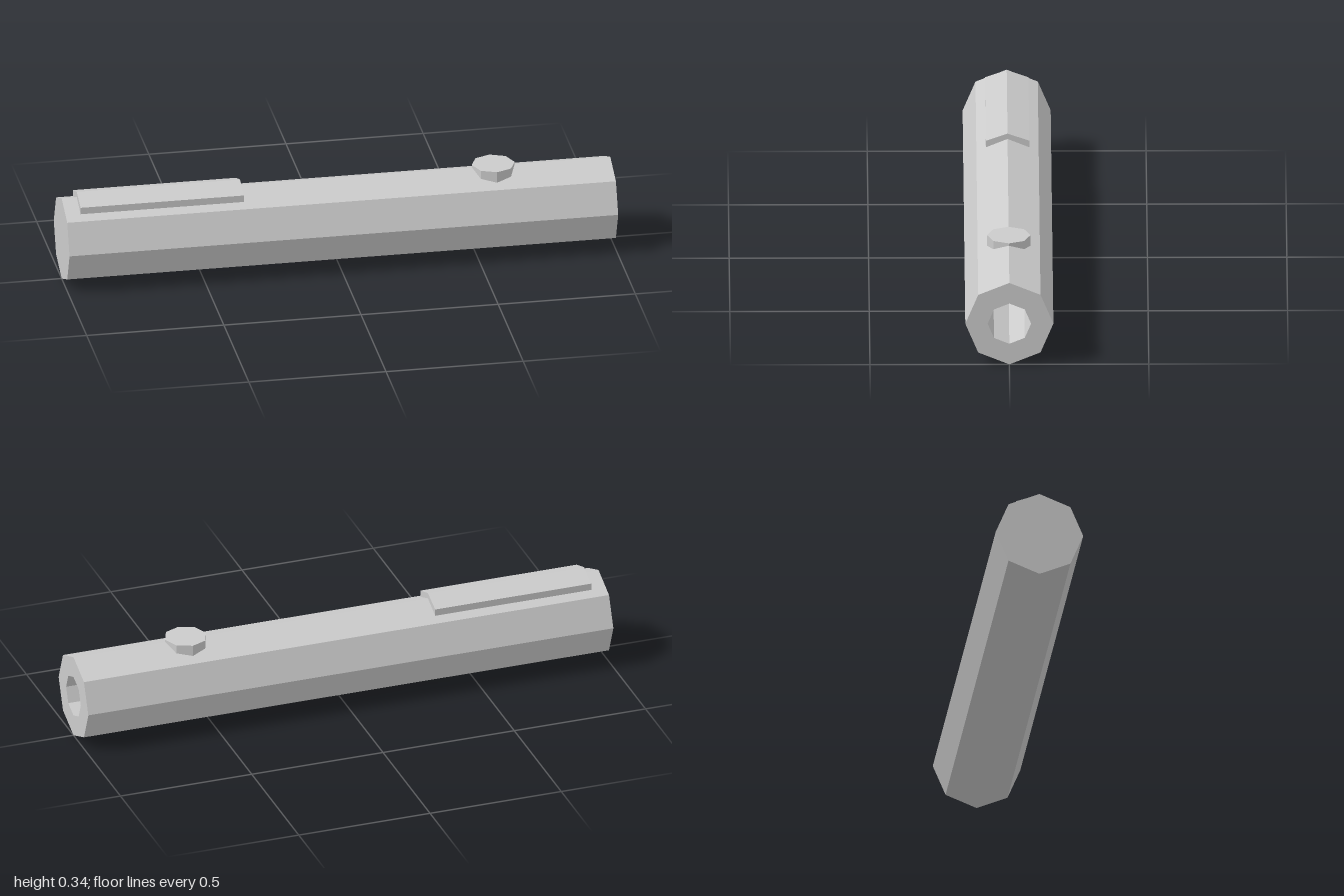
import * as THREE from 'three';

const R = 0.158;      // outer radius, also height of the axis
const BORE = 0.078;   // radius of the hole in the +x end

const material = new THREE.MeshStandardMaterial({ color: 0xcccccc, flatShading: true });

function addPart(group, name, geometry) {
  const mesh = new THREE.Mesh(geometry, material);
  mesh.name = name;
  group.add(mesh);
  return mesh;
}

export function createModel() {
  const group = new THREE.Group();
  group.name = 'octagonalTube';

  // Eight-sided body, closed at -x, with a blind bore at +x
  const profile = [[0, -1], [R, -1], [R, 1], [BORE, 1], [BORE, 0.6], [0, 0.6]]
    .map(([r, h]) => new THREE.Vector2(r, h));
  const body = new THREE.LatheGeometry(profile, 8);
  body.rotateZ(-Math.PI / 2);
  addPart(group, 'body', body).position.y = R;

  // Raised strip that follows the ridge of the body
  const w = 0.078;
  const section = new THREE.Shape([[-w, 0.275], [0, 0.305], [w, 0.275], [w, 0.309], [0, 0.337], [-w, 0.309]]
    .map(([z, y]) => new THREE.Vector2(z, y)));
  const strip = new THREE.ExtrudeGeometry(section, { depth: 0.595, bevelEnabled: false });
  strip.rotateY(Math.PI / 2);
  addPart(group, 'topStrip', strip).position.x = -0.945;

  // Push button set into the top
  const button = new THREE.CylinderGeometry(0.078, 0.078, 0.065, 8);
  addPart(group, 'button', button).position.set(0.573, 0.2925, 0);

  return group;
}
